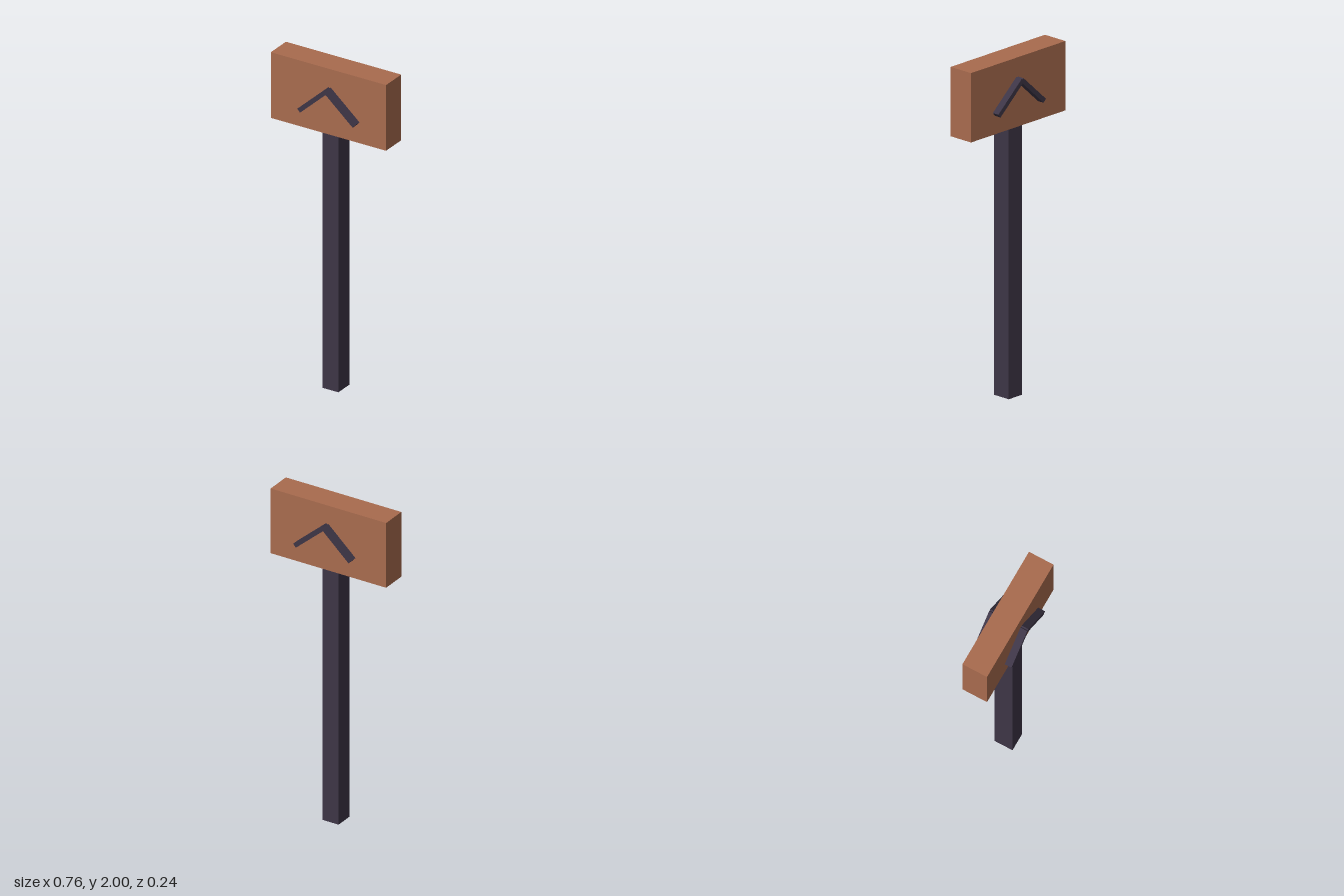
import * as THREE from 'three';

export function createModel() {
  const model = new THREE.Group();
  const wood = new THREE.MeshStandardMaterial({ color: 0xa86b4e });
  wood.name = 'brown wood';
  const dark = new THREE.MeshStandardMaterial({ color: 0x3d3546 });
  dark.name = 'dark purple grey';

  const addBox = (name, material, size, position) => {
    const mesh = new THREE.Mesh(new THREE.BoxGeometry(...size), material);
    mesh.name = name;
    mesh.position.set(...position);
    model.add(mesh);
    return mesh;
  };

  // Square post and the board on top of it
  addBox('post', dark, [0.106, 1.6, 0.114], [0, 0.8, 0]);
  addBox('board', wood, [0.76, 0.407, 0.156], [0, 1.7965, -0.001]);

  // Chevron bars run right through the board, standing proud on both faces
  const addBar = (name, x0, y0, x1, y1) => {
    const length = Math.hypot(x1 - x0, y1 - y0);
    const bar = addBox(name, dark, [length, 0.027, 0.242], [(x0 + x1) / 2, (y0 + y1) / 2, -0.001]);
    bar.rotation.z = Math.atan2(y1 - y0, x1 - x0);
  };
  addBar('rightChevronBar', -0.169, 1.712, 0.011, 1.877);
  addBar('leftChevronBar', 0.006, 1.877, 0.196, 1.712);

  return model;
}
